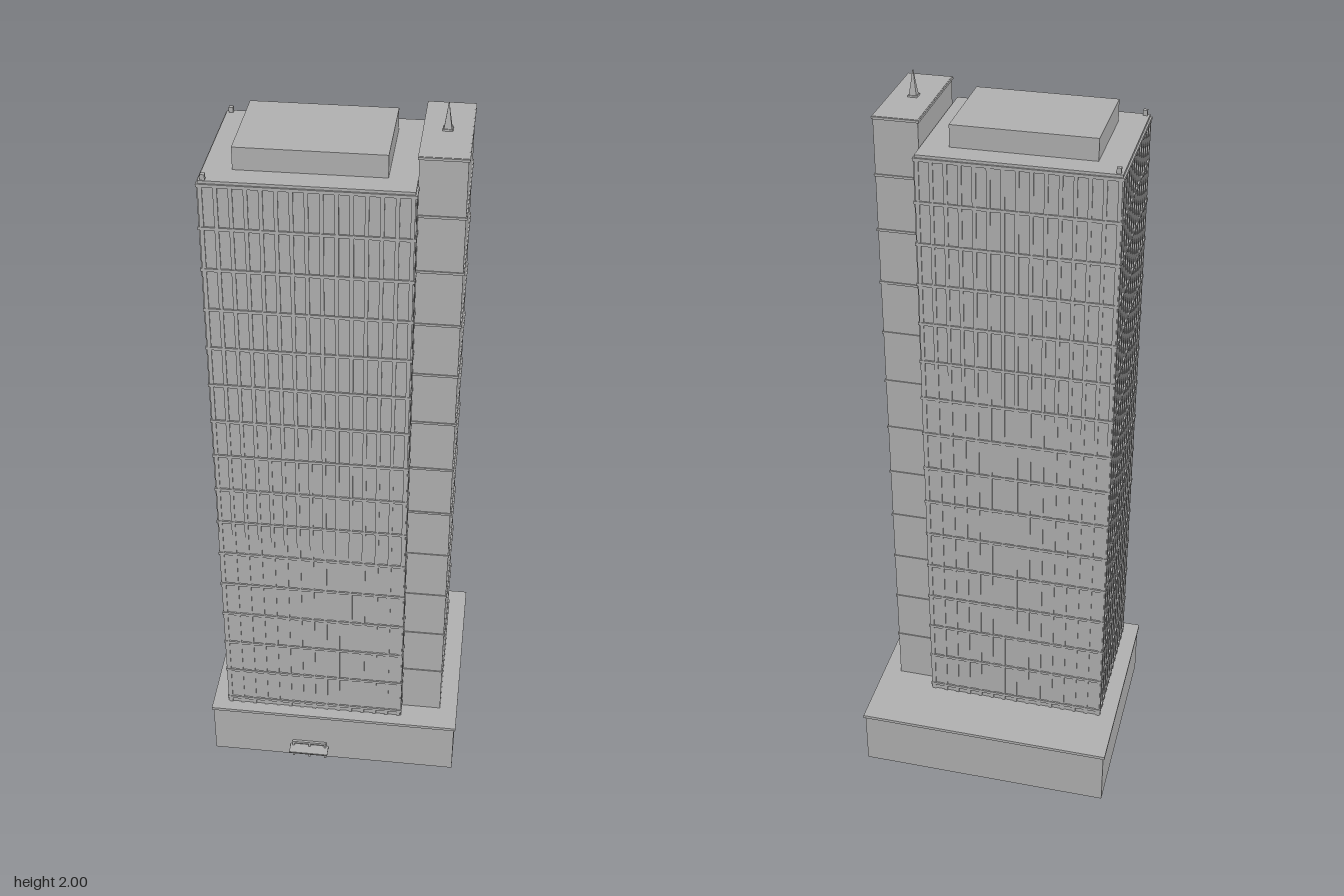
import * as THREE from 'three';

const concrete = new THREE.MeshStandardMaterial({ color: 0xb0b0b0, side: THREE.DoubleSide });
concrete.name = 'concrete grey';

export function createModel() {
  const model = new THREE.Group();
  model.name = 'officeTower';

  function add(name, geometry, parent = model) {
    const mesh = new THREE.Mesh(geometry, concrete);
    mesh.name = name;
    parent.add(mesh);
    return mesh;
  }
  // Box given by its limits on each axis
  function box(name, x0, x1, y0, y1, z0, z1, parent) {
    const mesh = add(name, new THREE.BoxGeometry(x1 - x0, y1 - y0, z1 - z0), parent);
    mesh.position.set((x0 + x1) / 2, (y0 + y1) / 2, (z0 + z1) / 2);
    return mesh;
  }
  function group(name) {
    const g = new THREE.Group();
    g.name = name;
    model.add(g);
    return g;
  }

  // Podium: a shell open underneath, with a thin projecting lip
  const podium = box('podium', -0.353, 0.353, 0, 0.166, -0.307, 0.275);
  const faces = Array.from(podium.geometry.index.array);
  faces.splice(18, 6); // the bottom face
  podium.geometry.setIndex(faces);
  podium.geometry.clearGroups();
  box('podiumLip', -0.3575, 0.3575, 0.161, 0.17, -0.3115, 0.279);

  // Entrance: portal, doors and canopy
  const entrance = group('entrance');
  box('portalHeader', -0.12, -0.02, 0.053, 0.06, 0.274, 0.282, entrance);
  for (const x of [-0.12, -0.073, -0.026]) {
    box('portalPost', x, x + 0.006, 0, 0.053, 0.274, 0.282, entrance);
  }
  box('canopy', -0.1265, -0.0135, 0.04, 0.044, 0.274, 0.309, entrance);

  // Main tower
  const L = -0.31, R = 0.193, B = -0.146, F = 0.243;
  box('mainTower', L, R, 0.166, 1.865, B, F);

  // Floor bands around the main tower
  const bands = group('floorBands');
  for (let i = 0; i < 16; i++) {
    const y = 1.854 - i * 0.111;
    box('floorBand', L - 0.0045, R + 0.0045, y - 0.004, y + 0.004, B - 0.0045, F + 0.0045, bands);
  }

  // Vertical mullions on all four sides
  const mullions = group('mullions');
  const w = 0.005, d = 0.003, y0 = 0.168, y1 = 1.854;
  for (let i = 0; i <= 14; i++) {
    const x = L + w + (R - L - 2 * w) * i / 14;
    box('frontMullion', x - w, x + w, y0, y1, F, F + d, mullions);
    box('backMullion', x - w, x + w, y0, y1, B - d, B, mullions);
  }
  for (let i = 0; i <= 11; i++) {
    const z = B + w + (F - B - 2 * w) * i / 11;
    box('rightMullion', L - d, L, y0, y1, z - w, z + w, mullions);
    box('leftMullion', R, R + d, y0, y1, z - w, z + w, mullions);
  }

  // Roof: plant room and two small corner posts
  box('plantRoom', -0.24, 0.1245, 1.865, 1.922, -0.0815, 0.179);
  for (const z of [-0.136, 0.235]) {
    box('roofPost', -0.304, -0.293, 1.865, 1.879, z - 0.0055, z + 0.0055);
  }

  // Service tower with thin joints
  box('serviceTower', 0.195, 0.3075, 0.166, 1.934, -0.1015, 0.2015);
  const joints = group('serviceTowerBands');
  for (let i = 0; i < 12; i++) {
    const y = 1.93 - i * 0.1465;
    box('serviceBand', 0.192, 0.3105, y - 0.003, y + 0.003, -0.1045, 0.2045, joints);
  }

  // Square tapering mast with a needle
  const mast = group('mast');
  mast.position.set(0.25, 1.934, 0.05);
  const taper = (name, top, bottom, h, y) => {
    const g = new THREE.CylinderGeometry(top * Math.SQRT2, bottom * Math.SQRT2, h, 4).toNonIndexed();
    g.rotateY(Math.PI / 4);
    g.computeVertexNormals();
    add(name, g, mast).position.y = y + h / 2;
  };
  taper('mastFoot', 0.012, 0.0125, 0.004, 0);
  taper('mastBody', 0.004, 0.0095, 0.038, 0.004);
  taper('mastNeedle', 0.001, 0.004, 0.024, 0.042);

  return model;
}
